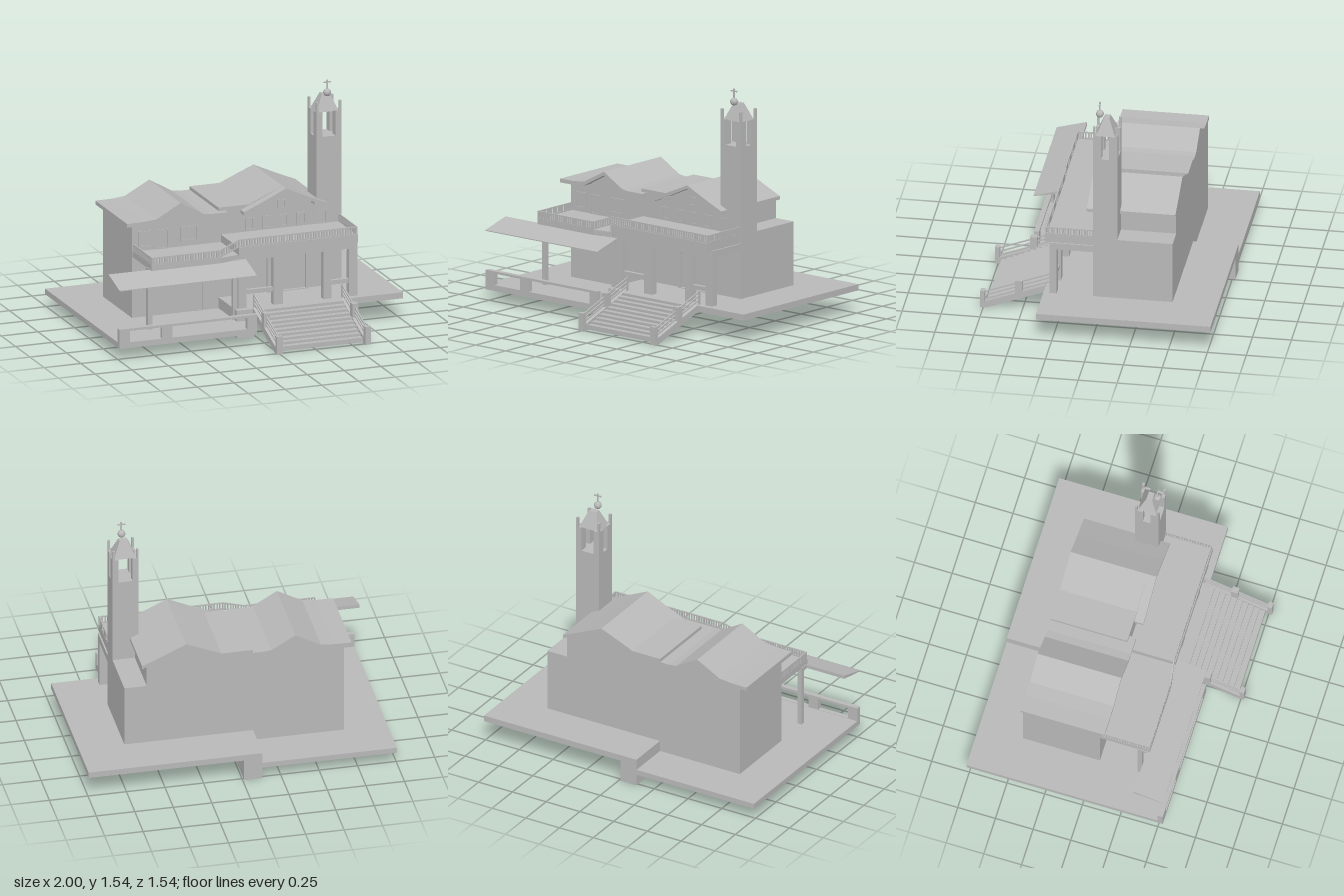
import * as THREE from 'three';
import { mergeGeometries } from 'three/addons/utils/BufferGeometryUtils.js';

export function createModel() {
  const root = new THREE.Group();
  root.name = 'hillsideChapel';
  const plaster = new THREE.MeshStandardMaterial({ color: 0xb8b8b8, side: THREE.DoubleSide });
  plaster.name = 'grey plaster';

  const add = (name, geo) => {
    const m = new THREE.Mesh(geo, plaster);
    m.name = name;
    root.add(m);
    return m;
  };
  // Box geometry from its min and max on each axis
  const boxGeo = (x0, x1, y0, y1, z0, z1) =>
    new THREE.BoxGeometry(x1 - x0, y1 - y0, z1 - z0).translate((x0 + x1) / 2, (y0 + y1) / 2, (z0 + z1) / 2);
  const box = (name, ...b) => add(name, boxGeo(...b));
  const shapeOf = (pts) => new THREE.Shape(pts.map((p) => new THREE.Vector2(p[0], p[1])));
  const rectHole = (x0, x1, y0, y1) => new THREE.Path([[x0, y0], [x1, y0], [x1, y1], [x0, y1]].map((p) => new THREE.Vector2(...p)));
  const extrude = (shape, z0, z1) =>
    new THREE.ExtrudeGeometry(shape, { depth: z1 - z0, bevelEnabled: false, curveSegments: 16 }).translate(0, 0, z0);
  // Extrude a (z, y) outline sideways
  const extrudeX = (pts, x0, x1) =>
    extrude(shapeOf(pts.map(([z, y]) => [-z, y])), x0, x1).rotateY(Math.PI / 2);
  // Thin bar between two points
  const barGeo = (a, b, t) => {
    const from = new THREE.Vector3(...a), to = new THREE.Vector3(...b);
    const g = new THREE.BoxGeometry(t, t, from.distanceTo(to));
    const o = new THREE.Object3D();
    o.position.copy(from).lerp(to, 0.5);
    o.lookAt(to);
    o.updateMatrix();
    return g.applyMatrix4(o.matrix);
  };

  // Ground slabs on two levels and the retaining wall between them
  box('upperSlab', -0.13, 1, 0.145, 0.185, -0.77, 0.35);
  box('lowerSlab', -1, -0.13, 0.077, 0.113, -0.77, 0.53);
  box('lowerSlabStrip', -0.13, -0.07, 0.077, 0.113, 0.35, 0.53);
  box('retainingWall', -0.13, -0.01, 0, 0.145, -0.77, 0.35);

  // Yard parapet with two long openings
  const parapet = shapeOf([[-1, 0.077], [-0.065, 0.077], [-0.065, 0.205], [-1, 0.205]]);
  parapet.holes.push(rectHole(-0.93, -0.71, 0.115, 0.19), rectHole(-0.64, -0.13, 0.115, 0.19));
  add('yardParapet', extrude(parapet, 0.5, 0.533));

  // House bodies
  box('mainBlock', -0.125, 0.705, 0.185, 0.6, -0.48, 0.03);
  add('mainUpperStorey', extrude(shapeOf(
    [[-0.125, 0.6], [0.56, 0.6], [0.56, 0.745], [0.305, 0.86], [0.075, 0.76], [-0.125, 0.76]]), -0.48, 0.03));
  add('sideHouse', extrude(shapeOf(
    [[-0.72, 0.113], [-0.125, 0.113], [-0.125, 0.73], [-0.25, 0.74], [-0.405, 0.835], [-0.56, 0.74], [-0.72, 0.73]]), -0.48, 0.03));

  // Roofs: a top line given a constant thickness
  const roof = (name, line, t, z0, z1) =>
    add(name, extrude(shapeOf([...line, ...line.map(([x, y]) => [x, y - t]).reverse()]), z0, z1));
  roof('mainRoof', [[-0.13, 0.778], [0.075, 0.778], [0.19, 0.828], [0.305, 0.875], [0.45, 0.808], [0.59, 0.748]], 0.022, -0.48, 0.03);
  roof('mainGableOverhang', [[0.02, 0.748], [0.16, 0.808], [0.305, 0.875], [0.45, 0.808], [0.59, 0.748]], 0.022, 0.03, 0.09);
  roof('sideRoof', [[-0.77, 0.752], [-0.66, 0.753], [-0.57, 0.762], [-0.405, 0.852], [-0.25, 0.762], [-0.2, 0.756], [-0.085, 0.756]], 0.025, -0.48, 0.075);
  for (const x of [0.09, 0.5]) box('gableBracket', x, x + 0.03, 0.745, 0.765, 0.03, 0.085);

  // Window and door surrounds
  const frame = (name, x0, x1, y0, y1, z = 0.03) => {
    const s = shapeOf([[x0, y0], [x1, y0], [x1, y1], [x0, y1]]), t = 0.008;
    s.holes.push(rectHole(x0 + t, x1 - t, y0 + t, y1 - t));
    add(name, extrude(s, z, z + 0.006));
  };
  frame('upperWindow', -0.675, -0.59, 0.575, 0.678);
  frame('upperDoor', -0.55, -0.47, 0.55, 0.678);
  frame('upperWindow', -0.39, -0.275, 0.585, 0.682);
  frame('gableWindow', 0.272, 0.328, 0.73, 0.787);
  frame('towerDoor', 0.545, 0.605, 0.6, 0.692);
  for (const x of [0.05, 0.17, 0.28, 0.4]) frame('terraceWindow', x, x + 0.06, 0.61, 0.69);
  frame('lowerDoor', -0.285, -0.235, 0.113, 0.46);

  // Arched main entrance
  const arch = (x0, x1, spring, rise, C) => {
    const s = new C();
    s.moveTo(x0, 0.185);
    s.lineTo(x1, 0.185);
    s.lineTo(x1, spring);
    s.absellipse((x0 + x1) / 2, spring, (x1 - x0) / 2, rise, 0, Math.PI, false);
    s.lineTo(x0, 0.185);
    return s;
  };
  const portal = arch(0.195, 0.475, 0.41, 0.07, THREE.Shape);
  portal.holes.push(arch(0.213, 0.457, 0.41, 0.058, THREE.Path).closePath());
  portal.holes[0] = new THREE.Path(arch(0.213, 0.457, 0.41, 0.058, THREE.Path).getPoints(16).map((p) => p.setY(Math.max(p.y, 0.19))));
  add('entranceArch', extrude(portal, 0.03, 0.05));

  // Main porch: pillars, low rails in the end bays, beams and terrace
  for (const [x0, x1] of [[-0.105, -0.05], [0.135, 0.2], [0.475, 0.53], [0.65, 0.705]])
    box('porchPillar', x0, x1, 0.185, 0.545, 0.265, 0.31);
  for (const [x0, x1] of [[-0.05, 0.135], [0.53, 0.65]]) box('porchBayRail', x0, x1, 0.272, 0.3, 0.275, 0.3);
  box('porchFrontBeam', -0.105, 0.705, 0.5, 0.545, 0.265, 0.31);
  for (const x of [-0.105, 0.66]) box('porchSideBeam', x, x + 0.045, 0.5, 0.545, 0.03, 0.265);
  box('terrace', -0.115, 0.695, 0.545, 0.6, 0.03, 0.345);

  // Side porch: posts, beam, balcony and sloping awning
  for (const x of [-0.72, -0.14]) box('sidePorchPost', x, x + 0.03, 0.113, 0.515, 0.28, 0.31);
  box('sidePorchBeam', -0.72, -0.115, 0.49, 0.52, 0.28, 0.345);
  add('balcony', extrude(shapeOf([[-0.715, -0.03], [-0.115, -0.03], [-0.115, -0.335], [-0.25, -0.36], [-0.715, -0.36]]), 0, 0.035)
    .rotateX(-Math.PI / 2).translate(0, 0.515, 0));
  add('awning', extrudeX([[0.34, 0.518], [0.34, 0.495], [0.535, 0.458], [0.535, 0.464]], -1, -0.065));

  // Balustrades following a path of points at floor level
  const balustrade = (name, path) => {
    const parts = [], h = 0.05;
    for (let i = 0; i + 1 < path.length; i++) {
      const a = new THREE.Vector3(...path[i]), b = new THREE.Vector3(...path[i + 1]);
      const n = Math.max(2, Math.round(a.distanceTo(b) / 0.018));
      for (let k = 0; k <= n; k++) {
        const p = a.clone().lerp(b, k / n);
        parts.push(boxGeo(p.x - 0.004, p.x + 0.004, p.y, p.y + h, p.z - 0.004, p.z + 0.004));
      }
      for (const dy of [0.004, h - 0.003])
        parts.push(barGeo([a.x, a.y + dy, a.z], [b.x, b.y + dy, b.z], 0.008));
    }
    add(name, mergeGeometries(parts));
  };
  balustrade('terraceBalustrade', [[-0.11, 0.6, 0.335], [0.69, 0.6, 0.335], [0.69, 0.6, 0.035]]);
  balustrade('balconyBalustrade', [[-0.71, 0.55, 0.035], [-0.71, 0.55, 0.355], [-0.25, 0.55, 0.355], [-0.11, 0.6, 0.335]]);

  // Front steps
  const steps = 10;
  for (let i = 0; i < steps; i++) {
    const y = 0.185 - i * 0.0165, z = 0.35 + i * 0.0375;
    box('step', 0.02, 0.58, y - 0.03, y, z, z + 0.04);
  }
  // Stair stringers, newels and handrails on both sides
  for (const x of [0, 0.6]) {
    add('stairStringer', extrudeX([[0.77, 0], [0.735, 0], [0.35, 0.145], [0.35, 0.19], [0.74, 0.043], [0.77, 0.043]], x - 0.02, x + 0.02));
    box('lowerNewel', x - 0.02, x + 0.02, 0, 0.117, 0.74, 0.77);
    box('middleNewel', x - 0.02, x + 0.02, 0.1, 0.207, 0.5, 0.545);
    box('upperNewel', x - 0.006, x + 0.006, 0.185, 0.272, 0.31, 0.322);
    for (let k = 0; k < 3; k++) {
      const d = k * 0.026;
      add('handrail', barGeo([x, 0.05 + d, 0.75], [x, 0.128 + d, 0.545], 0.008));
      add('handrail', barGeo([x, 0.143 + d, 0.51], [x, 0.217 + d, 0.312], 0.008));
    }
  }

  // Bell tower with open belfry and corner posts
  box('towerShaft', 0.535, 0.705, 0.185, 1.17, -0.125, 0.031);
  for (const [x0, x1, px] of [[0.535, 0.575, 0.535], [0.665, 0.705, 0.69]])
    for (const [z0, z1, pz] of [[-0.125, -0.072, -0.125], [-0.022, 0.031, 0.016]]) {
      box('belfryPier', x0, x1, 1.17, 1.335, z0, z1);
      box('cornerPost', px, px + 0.015, 1.335, 1.4, pz, pz + 0.015);
    }
  // Tapered tower cap
  const cap = new THREE.BoxGeometry(0.146, 0.11, 0.122);
  const pos = cap.attributes.position;
  for (let i = 0; i < pos.count; i++)
    if (pos.getY(i) > 0) pos.setXYZ(i, pos.getX(i) * 0.36, pos.getY(i), pos.getZ(i) * 0.3);
  cap.computeVertexNormals();
  add('towerCap', cap.translate(0.62, 1.383, -0.047));

  // Ball and cross
  add('finialBall', new THREE.SphereGeometry(0.025, 20, 14).translate(0.62, 1.453, 0));
  box('crossUpright', 0.616, 0.624, 1.47, 1.537, -0.004, 0.004);
  box('crossArm', 0.596, 0.644, 1.517, 1.525, -0.004, 0.004);

  return root;
}
